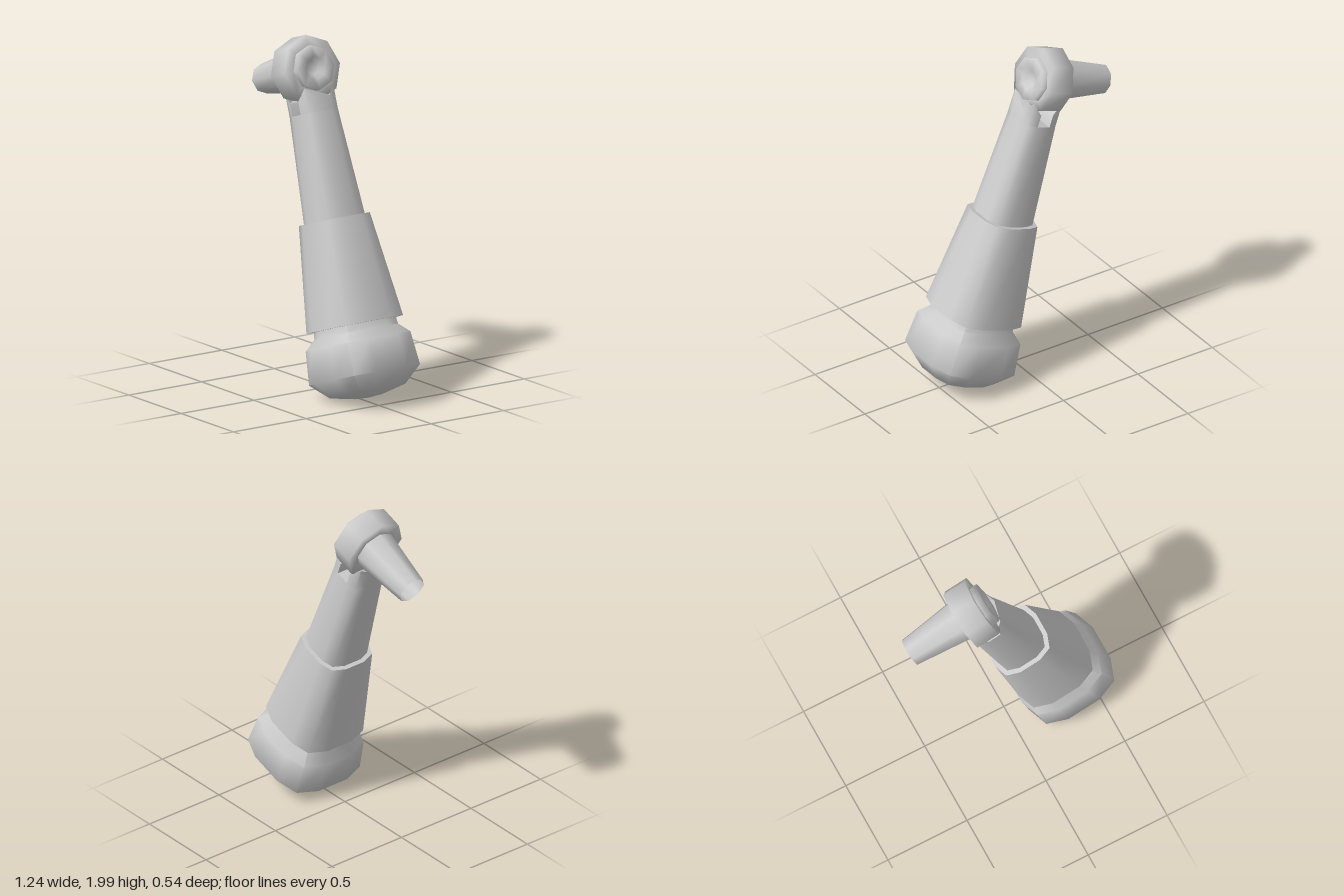
import * as THREE from 'three';
import { toCreasedNormals } from 'three/addons/utils/BufferGeometryUtils.js';

const material = new THREE.MeshStandardMaterial({ color: 0xcccccc });
const doubleSided = new THREE.MeshStandardMaterial({ color: 0xcccccc, side: THREE.DoubleSide });

// Rounded-square cross-section with twelve corners, half-width 1
const section = [];
for (let q = 0; q < 4; q++) {
  for (const [x, z] of [[1, 0.38], [0.835, 0.835], [0.38, 1]]) {
    const c = Math.round(Math.cos(q * Math.PI / 2)), s = Math.round(Math.sin(q * Math.PI / 2));
    section.push([x * c - z * s, x * s + z * c]);
  }
}

// Skins the section along a list of [half-width, height], bottom to top
function loft(profile) {
  const n = section.length, positions = [], index = [];
  for (const [r, y] of profile) for (const [x, z] of section) positions.push(x * r, y, z * r);
  for (let i = 0; i < profile.length - 1; i++) {
    for (let j = 0; j < n; j++) {
      const a = i * n + j, b = i * n + (j + 1) % n, c = a + n, d = b + n;
      if (profile[i][0] > 0) index.push(a, c, b);
      if (profile[i + 1][0] > 0) index.push(b, c, d);
      else if (profile[i][0] === 0) continue;
    }
  }
  const g = new THREE.BufferGeometry();
  g.setAttribute('position', new THREE.Float32BufferAttribute(positions, 3));
  g.setIndex(index);
  return toCreasedNormals(g, 1.0);
}

// Eight-sided turned part lying along x, from a list of [radius, x]
function turned(profile) {
  const points = profile.map(([r, x]) => new THREE.Vector2(r, x));
  return new THREE.LatheGeometry(points, 8).rotateZ(-Math.PI / 2);
}

// Fork prong on the side given by sign, with a cradle cut into its top
function prong(sign) {
  const r = 0.118, base = 1.2, inner = 0.042;
  const outer = section.filter(([x]) => x > 0.5).map(([x, z]) => [x * r, z * r]);
  outer.sort((a, b) => a[1] - b[1]);
  const outline = [[inner, -r], [0.38 * r, -r], ...outer, [0.38 * r, r], [inner, r]];
  const shape = new THREE.Shape(outline.map(([x, z]) => new THREE.Vector2(x, z)));
  const g = new THREE.ExtrudeGeometry(shape, { depth: 0.1, bevelEnabled: false });
  g.rotateX(-Math.PI / 2);
  if (sign < 0) g.rotateY(Math.PI);
  const p = g.attributes.position;
  for (let i = 0; i < p.count; i++) {
    const z = Math.abs(p.getZ(i));
    const top = z > 0.11 ? 1.28 : z > 0.08 ? 1.345 : 1.285;
    p.setY(i, p.getY(i) > 0.05 ? top : base);
  }
  return toCreasedNormals(g, 0.9);
}

export function createModel() {
  const model = new THREE.Group();
  const add = (name, geometry, parent = model, mat = material) => {
    const mesh = new THREE.Mesh(geometry, mat);
    mesh.name = name;
    parent.add(mesh);
    return mesh;
  };

  // Everything is built upright, then leaned over
  const arm = new THREE.Group();
  arm.name = 'leaningArm';
  arm.position.set(0.27, 0.425, 0);
  arm.rotation.z = THREE.MathUtils.degToRad(19);
  model.add(arm);

  // Rounded foot, sleeve and slim handle
  add('bulb', loft([[0, -0.415], [0.065, -0.41], [0.185, -0.378], [0.272, -0.286],
    [0.257, -0.096], [0.205, -0.04], [0.2, 0.02]]), arm);
  add('sleeve', loft([[0, 0], [0.237, 0], [0.174, 0.6], [0, 0.6]]), arm);
  add('handle', loft([[0.15, 0.58], [0.118, 1.205], [0, 1.205]]), arm);

  // Fork holding the head
  for (const sign of [1, -1]) add(sign > 0 ? 'leftProng' : 'rightProng', prong(sign), arm);

  // Head: disc with an open tapered spout and a dimpled boss
  const head = new THREE.Group();
  head.name = 'head';
  head.position.y = 1.45;
  arm.add(head);
  add('spout', turned([[0.085, -0.415], [0.125, -0.07]]), head, doubleSided);
  add('disc', turned([[0, -0.07], [0.125, -0.07], [0.19, -0.07], [0.19, 0.07], [0.125, 0.07]]), head);
  add('boss', turned([[0.13, 0.06], [0.127, 0.105], [0.065, 0.105], [0.04, 0.07], [0, 0.07]]), head);

  return model;
}
